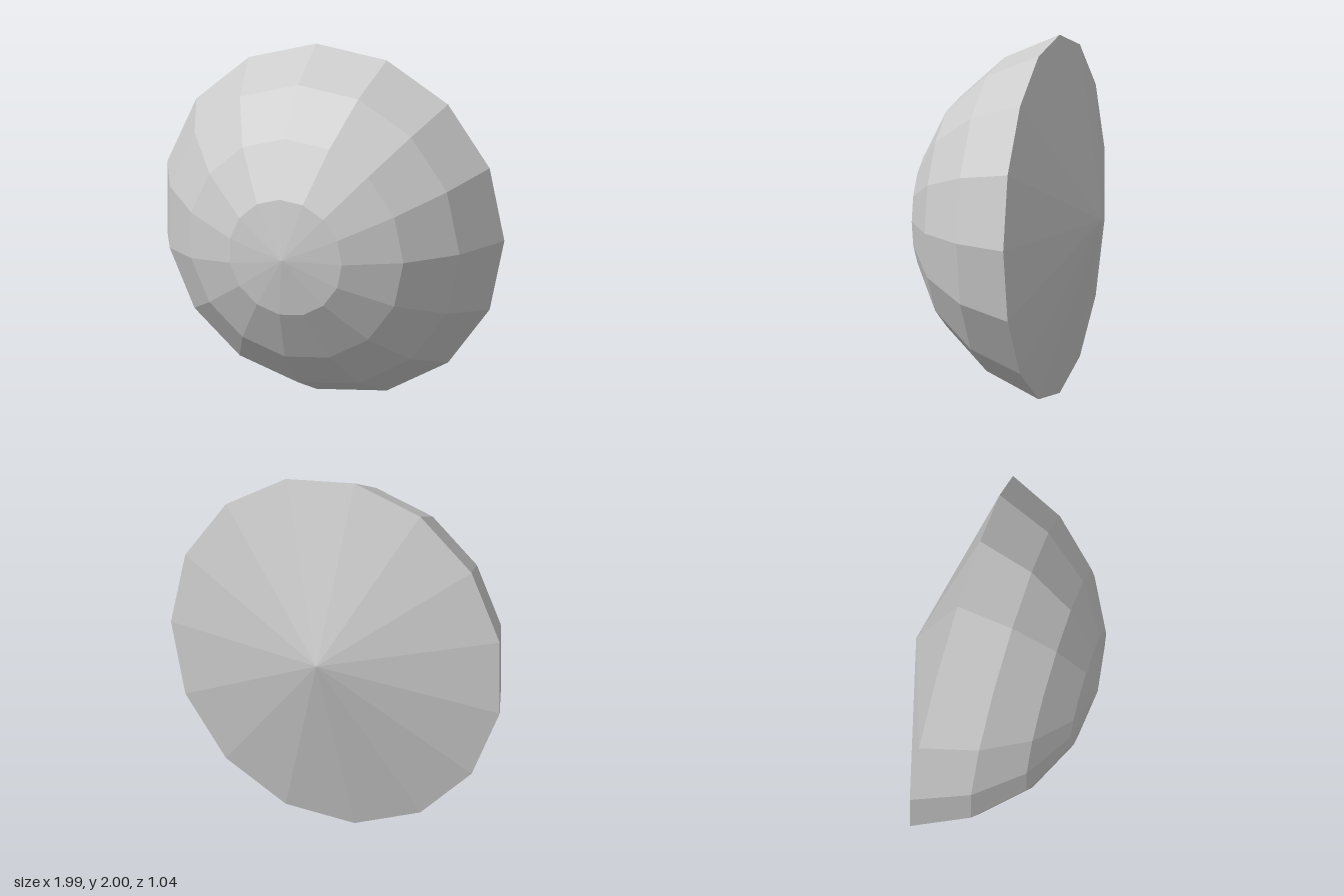
import * as THREE from 'three';

const SIDES = 15;
const RADIUS = 1.041; // radius of the sphere the dome is cut from
const CAP_ANGLE = THREE.MathUtils.degToRad(75);
const RINGS = 4;

// Turn a profile of (radius, depth) points around the z axis
function turned(name, points, material) {
  const geometry = new THREE.LatheGeometry(points, SIDES, Math.PI / 2);
  geometry.rotateX(Math.PI / 2);
  const mesh = new THREE.Mesh(geometry, material);
  mesh.name = name;
  return mesh;
}

export function createModel() {
  const group = new THREE.Group();
  group.name = 'facetedDome';
  const material = new THREE.MeshStandardMaterial({ color: 0xcccccc, flatShading: true });

  // Domed front, from the rim to the front pole
  const arc = [];
  for (let i = RINGS; i >= 0; i--) {
    const a = (CAP_ANGLE * i) / RINGS;
    arc.push(new THREE.Vector2(RADIUS * Math.sin(a), RADIUS * (Math.cos(a) - 0.5)));
  }
  group.add(turned('dome', arc, material));

  // Shallow cone closing the back, from the sphere centre out to the rim
  const cone = [new THREE.Vector2(0, -RADIUS / 2), arc[0].clone()];
  group.add(turned('backCone', cone, material));

  // An odd number of sides puts the axis slightly off the middle
  group.position.set(-0.011, 1, 0);
  return group;
}
